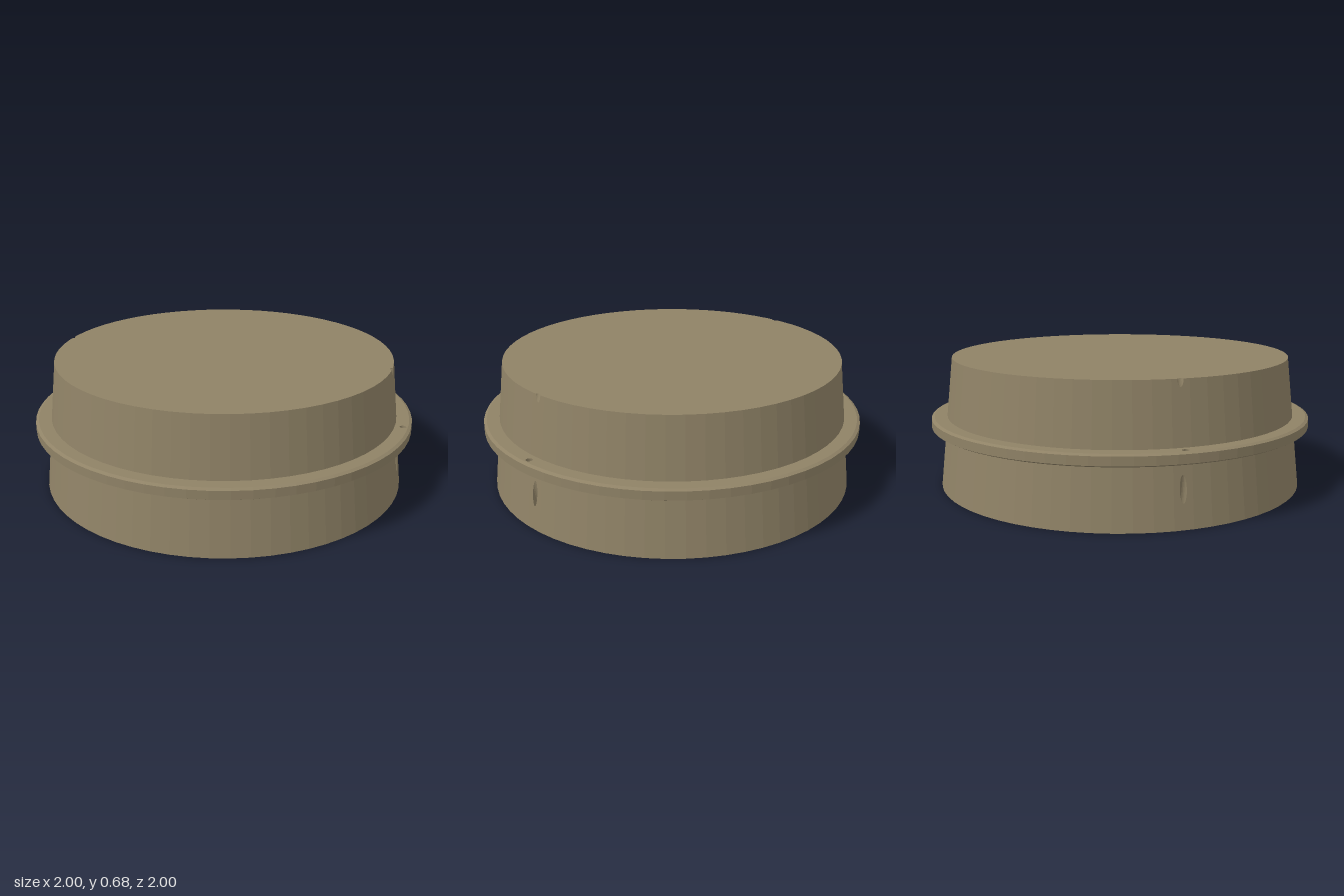
import * as THREE from 'three';

const SEG = 64, HALF = Math.PI / SEG;          // facets round the drum, half a facet
const R0 = 0.96, R1 = 0.885, H = 0.675;        // drum radii and height
const FLAT = Math.cos(HALF);
const radiusAt = y => R0 + (R1 - R0) * y / H;
const wallX = y => radiusAt(y) * FLAT;         // middle of a flat facet
const HOLE = 0.017, CHIP = { width: 0.015, height: 0.037, depth: 0.01 };

const mat = new THREE.MeshStandardMaterial({ color: 0x8f8266, flatShading: true, side: THREE.DoubleSide });

function mesh(name, geometry) {
  const m = new THREE.Mesh(geometry, mat);
  m.name = name;
  return m;
}

// Samples a point rule over a range of angles
function sample(rule, from = 0, to = Math.PI * 2, n = 16) {
  return Array.from({ length: n + 1 }, (_, i) => rule(from + (to - from) * i / n));
}

// Surface between two matching rows of points
function loft(a, b) {
  const pos = [], idx = [];
  a.forEach((p, i) => pos.push(...p, ...b[i]));
  for (let i = 0; i < a.length - 1; i++) {
    const k = i * 2;
    idx.push(k, k + 2, k + 1, k + 1, k + 2, k + 3);
  }
  const g = new THREE.BufferGeometry();
  g.setAttribute('position', new THREE.Float32BufferAttribute(pos, 3));
  g.setIndex(idx);
  g.computeVertexNormals();
  return g;
}

const vec2 = list => list.map(p => new THREE.Vector2(p[0], p[1]));
const circle = (x, r) => vec2(sample(t => [x + r * Math.cos(t), r * Math.sin(t)]).slice(0, -1));
const polygon = r => vec2(sample(t => [r * Math.cos(t), r * Math.sin(t)], HALF, HALF + Math.PI * 2, SEG).slice(0, -1));

// Horizontal face with holes, facing up or down
function plate(outline, holes, y, up) {
  const s = new THREE.Shape(outline);
  holes.forEach(h => s.holes.push(new THREE.Path(h)));
  return new THREE.ShapeGeometry(s).rotateX(up ? -Math.PI / 2 : Math.PI / 2).translate(0, y, 0);
}

// Outline of the top with a small chip at each side
function chippedOutline() {
  const pts = [];
  for (const sign of [1, -1]) {
    for (let k = 0; k < SEG / 2; k++) {
      const a = HALF + 2 * HALF * k;
      pts.push([sign * R1 * Math.cos(a), sign * R1 * Math.sin(a)]);
    }
    pts.push(...sample(t => [
      -sign * (R1 * FLAT - CHIP.depth * Math.cos(t)),
      -sign * CHIP.width * Math.sin(t)], -Math.PI / 2, Math.PI / 2, 8));
  }
  return vec2(pts);
}

// One side facet with the cord hole and the chip in its upper edge
function sidePanel() {
  const b = R0 * Math.sin(HALF), t = R1 * Math.sin(HALF);
  const chip = sample(a => [CHIP.width * Math.sin(a), H - CHIP.height * Math.cos(a)], Math.PI / 2, -Math.PI / 2, 8);
  const s = new THREE.Shape(vec2([[-b, 0], [b, 0], [t, H], ...chip, [-t, H]]));
  s.holes.push(new THREE.Path(vec2(
    sample(a => [HOLE * Math.sin(a), 0.185 - 0.065 * Math.cos(a)]).slice(0, -1))));
  const g = new THREE.ShapeGeometry(s), p = g.attributes.position;
  for (let i = 0; i < p.count; i++) {
    const side = p.getX(i), y = p.getY(i);
    p.setXYZ(i, wallX(y), y, -side);
  }
  g.computeVertexNormals();
  return g;
}

function sideDetail() {
  const g = new THREE.Group();
  g.name = 'cordSide';
  g.add(mesh('sidePanel', sidePanel()));

  // Slanting bore from the base to the wall
  const wallRing = sample(t => {
    const y = 0.185 - 0.065 * Math.cos(t);
    return [wallX(y), y, HOLE * Math.sin(t)];
  });
  const ring = (x, y) => sample(t => [x + HOLE * Math.cos(t), y, HOLE * Math.sin(t)]);
  g.add(mesh('cordBore', loft(ring(0.9, 0), wallRing)));

  // Bore through the flange
  g.add(mesh('flangeBore', loft(ring(0.952, 0.31), ring(0.96, 0.37))));

  // Chip in the top edge
  const lower = sample(t => {
    const y = H - CHIP.height * Math.cos(t);
    return [wallX(y), y, CHIP.width * Math.sin(t)];
  }, -Math.PI / 2, Math.PI / 2, 8);
  const upper = sample(t => [R1 * FLAT - CHIP.depth * Math.cos(t), H, CHIP.width * Math.sin(t)],
    -Math.PI / 2, Math.PI / 2, 8);
  g.add(mesh('edgeChip', loft(lower, upper)));
  return g;
}

export function createModel() {
  const model = new THREE.Group();
  model.name = 'drum';

  // Tapered wall in two halves, with a drilled facet on each side
  for (const turn of [0, Math.PI]) {
    model.add(mesh('wall', new THREE.LatheGeometry(vec2([[R0, 0], [R1, H]]), SEG / 2 - 1,
      Math.PI / 2 + HALF + turn, Math.PI - 2 * HALF)));
    const side = sideDetail();
    side.rotation.y = turn;
    model.add(side);
  }

  // Top and base
  model.add(mesh('top', plate(chippedOutline(), [], H, true)));
  model.add(mesh('base', plate(polygon(R0), [circle(0.9, HOLE), circle(-0.9, HOLE)], 0, false)));

  // Flange with chamfered rim
  const flange = new THREE.Group();
  flange.name = 'flange';
  const rim = [[0.985, 0.31], [1, 0.318], [1, 0.362], [0.985, 0.37]];
  flange.add(mesh('rim', new THREE.LatheGeometry(vec2(rim), SEG, HALF)));
  for (const [y, x, up] of [[0.31, 0.952, false], [0.37, 0.96, true]]) {
    flange.add(mesh(up ? 'flangeTop' : 'flangeUnderside',
      plate(polygon(0.985), [polygon(radiusAt(y) - 0.002), circle(x, HOLE), circle(-x, HOLE)], y, up)));
  }
  model.add(flange);
  return model;
}
